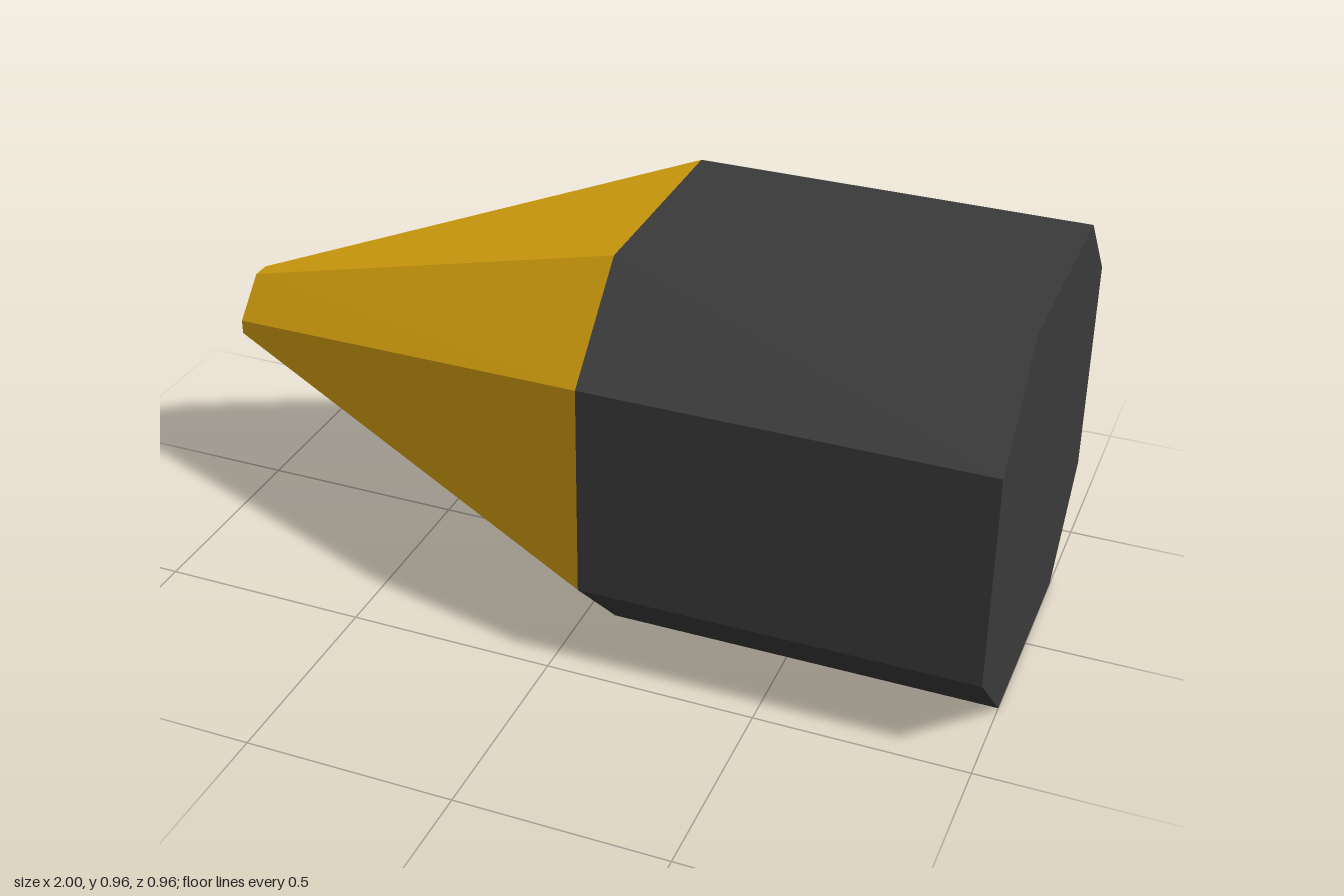
import * as THREE from 'three';

// Cross-sections as [z, y], running counter-clockwise seen from +x
const bodyRing = [[0.26, 0.96], [0.48, 0.74], [0.48, 0.22], [0.26, 0], [-0.26, 0], [-0.48, 0.22], [-0.48, 0.76], [-0.28, 0.96]];
const tipRing = [[0.015, 0.59], [0.1, 0.5], [0.1, 0.465], [0.015, 0.38], [-0.03, 0.38], [-0.11, 0.465], [-0.11, 0.5], [-0.03, 0.59]];

// Flat-shaded loft between two rings, closed at one end
function loft(ringA, xA, ringB, xB, capAtB) {
  const a = ringA.map(([z, y]) => [xA, y, z]);
  const b = ringB.map(([z, y]) => [xB, y, z]);
  const n = a.length;
  const out = [];
  const tri = (...corners) => corners.forEach((p) => out.push(...p));
  for (let i = 0; i < n; i++) {
    const j = (i + 1) % n;
    tri(a[i], a[j], b[j]);
    tri(a[i], b[j], b[i]);
  }
  for (let i = 1; i < n - 1; i++) {
    if (capAtB) tri(b[0], b[i], b[i + 1]);
    else tri(a[0], a[i + 1], a[i]);
  }
  const geometry = new THREE.BufferGeometry();
  geometry.setAttribute('position', new THREE.Float32BufferAttribute(out, 3));
  geometry.computeVertexNormals();
  return geometry;
}

export function createModel() {
  const group = new THREE.Group();
  const charcoal = new THREE.MeshStandardMaterial({ color: 0x3a3a3a });
  charcoal.name = 'charcoal';
  const gold = new THREE.MeshStandardMaterial({ color: 0xdba50f });
  gold.name = 'gold';

  // Straight octagonal body with a flat end
  const body = new THREE.Mesh(loft(bodyRing, 0.07, bodyRing, 1, true), charcoal);
  body.name = 'body';

  // Tapered nose with a small blunt tip
  const nose = new THREE.Mesh(loft(tipRing, -1, bodyRing, 0.07, false), gold);
  nose.name = 'nose';

  group.add(body, nose);
  return group;
}
